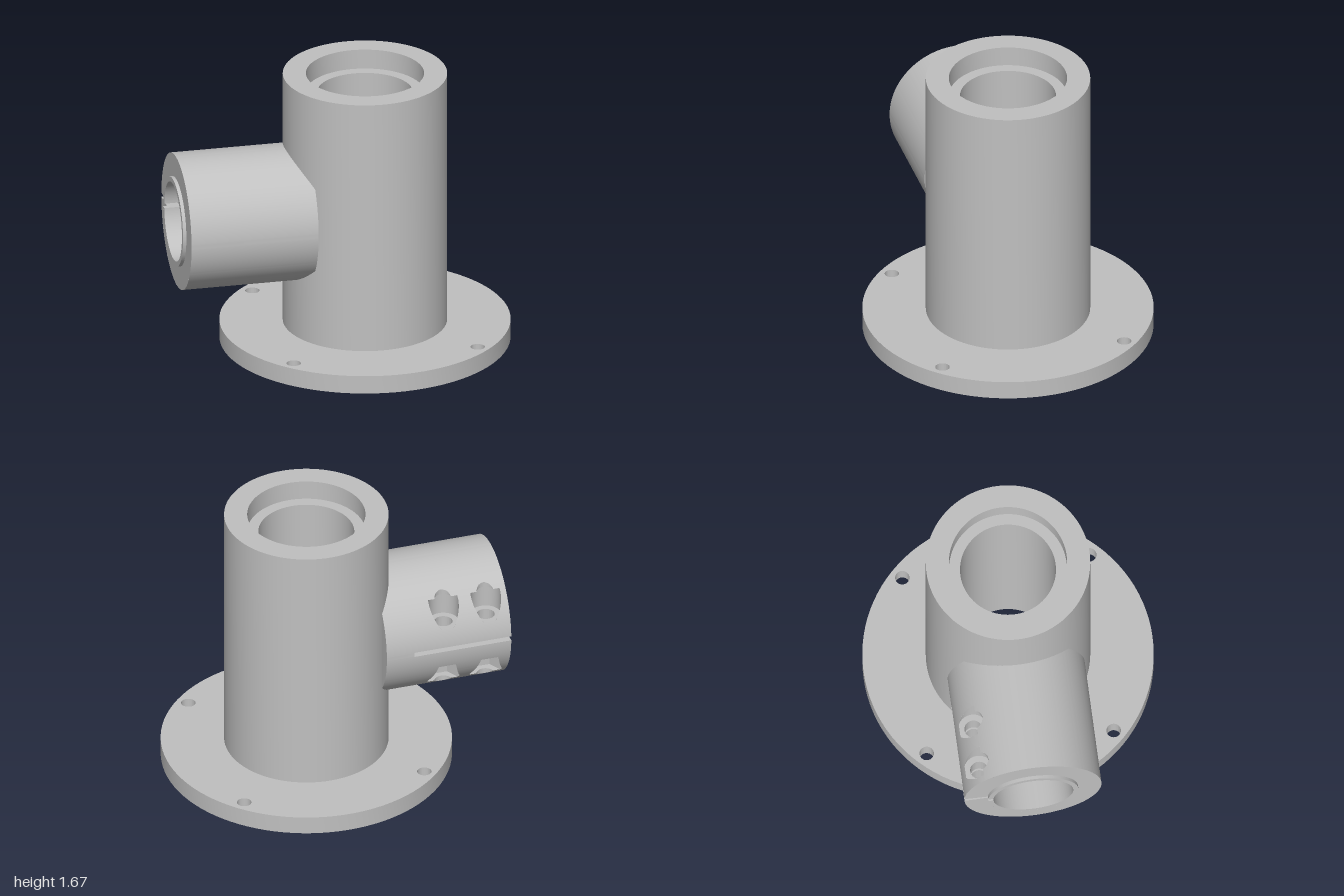
import * as THREE from 'three';
import { toCreasedNormals } from 'three/addons/utils/BufferGeometryUtils.js';

const AX = 0.147;                 // x of the upright tube's axis
const CY = 0.835, R = 0.403;      // height and radius of the side clamp
const BORE = 0.235, LIP = 0.265;
const X_LIP = -1, X_FACE = -0.98, X_SLIT = -0.39, X_END = -0.22;
const SLIT = 0.014;               // half thickness of the slit
const BOLT_X = [-0.855, -0.597], BOLT_Z = -0.3, BOLT_R = 0.053;
const FLOOR = 0.13, CEIL = 0.285; // heights of a bolt pocket from the clamp axis
const POCKET_R = 0.09, NUT_R = 0.1;

// half width in x of each cut, at distance d from the bolt axis
const circleHalf = (r, d) => Math.sqrt(Math.max(0, r * r - d * d));
const hexHalf = (r, d) => (Math.abs(d) < r * 0.866 ? r - Math.abs(d) / Math.sqrt(3) : 0);
// radius of each pocket outline around the bolt axis
const round = (r) => () => r;
const hex = (r) => (a) => (r * 0.866) / Math.cos((a % (Math.PI / 3)) - Math.PI / 6);

export function createModel() {
  const steel = new THREE.MeshStandardMaterial({ color: 0xc0c0c0, side: THREE.DoubleSide });
  steel.name = 'steelGrey';
  const model = new THREE.Group();
  model.name = 'clampBase';

  const add = (name, geo, parent) => {
    const m = new THREE.Mesh(toCreasedNormals(geo, 0.5), steel);
    m.name = name;
    parent.add(m);
    return m;
  };
  const fromQuads = (quads) => {
    const p = [];
    for (const [a, b, c, d] of quads) p.push(...a, ...b, ...c, ...a, ...c, ...d);
    const g = new THREE.BufferGeometry();
    g.setAttribute('position', new THREE.Float32BufferAttribute(p, 3));
    return g;
  };
  const circleHole = (x, y, r) => new THREE.Path().absarc(x, y, r, 0, Math.PI * 2, true);

  // Flange with four bolt holes
  const disc = new THREE.Shape().absarc(0, 0, 0.85, 0, Math.PI * 2, false);
  disc.holes.push(circleHole(0, 0, 0.345));
  for (const sx of [-1, 1]) for (const sz of [-1, 1]) disc.holes.push(circleHole(sx * 0.55, sz * 0.55, 0.042));
  const flangeGeo = new THREE.ExtrudeGeometry(disc, { depth: 0.11, bevelEnabled: false, curveSegments: 48 });
  flangeGeo.rotateX(-Math.PI / 2);
  add('flange', flangeGeo, model).position.x = AX;

  // Upright tube with a stepped bore
  const profile = [[0.28, 0.11], [0.48, 0.11], [0.48, 1.67], [0.345, 1.67], [0.345, 1.55], [0.28, 1.55], [0.28, 0.11]];
  const tubeGeo = new THREE.LatheGeometry(profile.map(([x, y]) => new THREE.Vector2(x, y)), 96);
  add('uprightTube', tubeGeo, model).position.x = AX;

  // Side clamp
  const clamp = new THREE.Group();
  clamp.name = 'sideClamp';
  clamp.position.y = CY;
  model.add(clamp);

  // Cylindrical skin along x, split by the slit and, if asked, by the bolt pockets
  const skin = (r, x0, x1, pockets, inward) => {
    const point = (x, a) => [x, r * Math.sin(a), -r * Math.cos(a)];
    const angles = [];
    for (let i = -128; i <= 128; i++) angles.push((i / 128) * Math.PI);
    const marks = [Math.asin(SLIT / r)];
    if (pockets) marks.push(Math.asin(FLOOR / r), Math.asin(CEIL / r), Math.acos((-BOLT_Z - BOLT_R) / r));
    for (const m of marks) angles.push(m, -m);
    angles.sort((a, b) => a - b);
    const quads = [];
    for (let i = 0; i + 1 < angles.length; i++) {
      const a = angles[i], b = angles[i + 1], mid = (a + b) / 2;
      if (b - a < 1e-7) continue;
      const y = r * Math.sin(mid), back = Math.cos(mid) > 0;
      const inSlit = back && Math.abs(y) < SLIT;
      let half = null;
      if (pockets && -r * Math.cos(mid) < BOLT_Z + BOLT_R) {
        if (Math.abs(y) > CEIL) half = (d) => circleHalf(BOLT_R, d);
        else if (y > FLOOR) half = (d) => circleHalf(POCKET_R, d);
        else if (y < -FLOOR) half = (d) => hexHalf(NUT_R, d);
      }
      const stops = (t) => {
        const row = [inSlit ? Math.min(X_SLIT, x1) : x0];
        if (half) {
          const w = half(-r * Math.cos(t) - BOLT_Z);
          for (const x of BOLT_X) row.push(x - w, x + w);
        }
        return [...row, x1];
      };
      const p = stops(a), q = stops(b);
      for (let k = 0; k < p.length; k += 2) {
        if (p[k + 1] - p[k] < 1e-6) continue;
        const quad = [point(p[k], a), point(q[k], b), point(q[k + 1], b), point(p[k + 1], a)];
        quads.push(inward ? quad.reverse() : quad);
      }
    }
    return fromQuads(quads);
  };
  add('clampShell', skin(R, X_FACE, X_END, true, false), clamp);
  add('clampBore', skin(BORE, X_LIP, X_END, false, true), clamp);
  add('clampLip', skin(LIP, X_LIP, X_FACE, false, false), clamp);

  // Flat end rings, open at the slit
  const endRing = (name, inner, outer, x, gap, dir) => {
    const g = new THREE.RingGeometry(inner, outer, 96, 1, Math.PI + gap, Math.PI * 2 - gap * 2);
    g.rotateY((dir * Math.PI) / 2);
    add(name, g, clamp).position.x = x;
  };
  endRing('clampFace', LIP, R, X_FACE, SLIT / R, -1);
  endRing('lipFace', BORE, LIP, X_LIP, SLIT / LIP, -1);
  endRing('clampInnerFace', BORE, R, X_END, 0, 1);

  // Slit walls, pierced by the bolts
  const side = new THREE.Shape([[X_LIP, -BORE], [X_SLIT, -BORE], [X_SLIT, -R], [X_FACE, -R], [X_FACE, -LIP], [X_LIP, -LIP]]
    .map(([x, z]) => new THREE.Vector2(x, z)));
  for (const x of BOLT_X) side.holes.push(circleHole(x, BOLT_Z, BOLT_R));
  for (const s of [1, -1]) {
    const g = new THREE.ShapeGeometry(side, 24);
    g.rotateX(Math.PI / 2);
    add('slitWall', g, clamp).position.y = s * SLIT;
  }
  add('slitEnd', fromQuads([[[X_SLIT, -SLIT, -R], [X_SLIT, -SLIT, -BORE], [X_SLIT, SLIT, -BORE], [X_SLIT, SLIT, -R]]]), clamp);

  // Bolt pockets: round above, six-sided below
  const N = 48;
  const surface = (z) => Math.sqrt(Math.max(0, R * R - z * z));
  const limit = (h) => -Math.sqrt(R * R - h * h);
  const around = (fn) => {
    const quads = [];
    for (let i = 0; i < N; i++) quads.push(fn((i / N) * Math.PI * 2, ((i + 1) / N) * Math.PI * 2));
    return fromQuads(quads);
  };
  const pocket = (cx, s, outline) => {
    const group = new THREE.Group();
    group.name = s > 0 ? 'boltPocket' : 'nutPocket';
    clamp.add(group);
    const at = (rad, a, zMin) => [cx + rad(a) * Math.cos(a), Math.max(zMin, BOLT_Z + rad(a) * Math.sin(a))];
    const wall = (name, rad, zMin, lo, hi) => add(name, around((a, b) => {
      const [ax, az] = at(rad, a, zMin), [bx, bz] = at(rad, b, zMin);
      return [[ax, s * lo, az], [bx, s * lo, bz], [bx, s * hi(bz), bz], [ax, s * hi(az), az]];
    }), group);
    const shelf = (name, h) => add(name, around((a, b) => [[round(BOLT_R), a], [outline, a], [outline, b], [round(BOLT_R), b]]
      .map(([rad, t]) => {
        const [x, z] = at(rad, t, limit(h));
        return [x, s * h, z];
      })), group);
    wall('pocketWall', outline, limit(FLOOR), FLOOR, (z) => Math.min(CEIL, surface(z)));
    shelf('pocketFloor', FLOOR);
    shelf('pocketCeiling', CEIL);
    wall('boltHole', round(BOLT_R), -R, SLIT, () => FLOOR);
    wall('toolHole', round(BOLT_R), limit(CEIL), CEIL, (z) => Math.max(CEIL, surface(z)));
  };
  for (const x of BOLT_X) {
    pocket(x, 1, round(POCKET_R));
    pocket(x, -1, hex(NUT_R));
  }
  return model;
}
